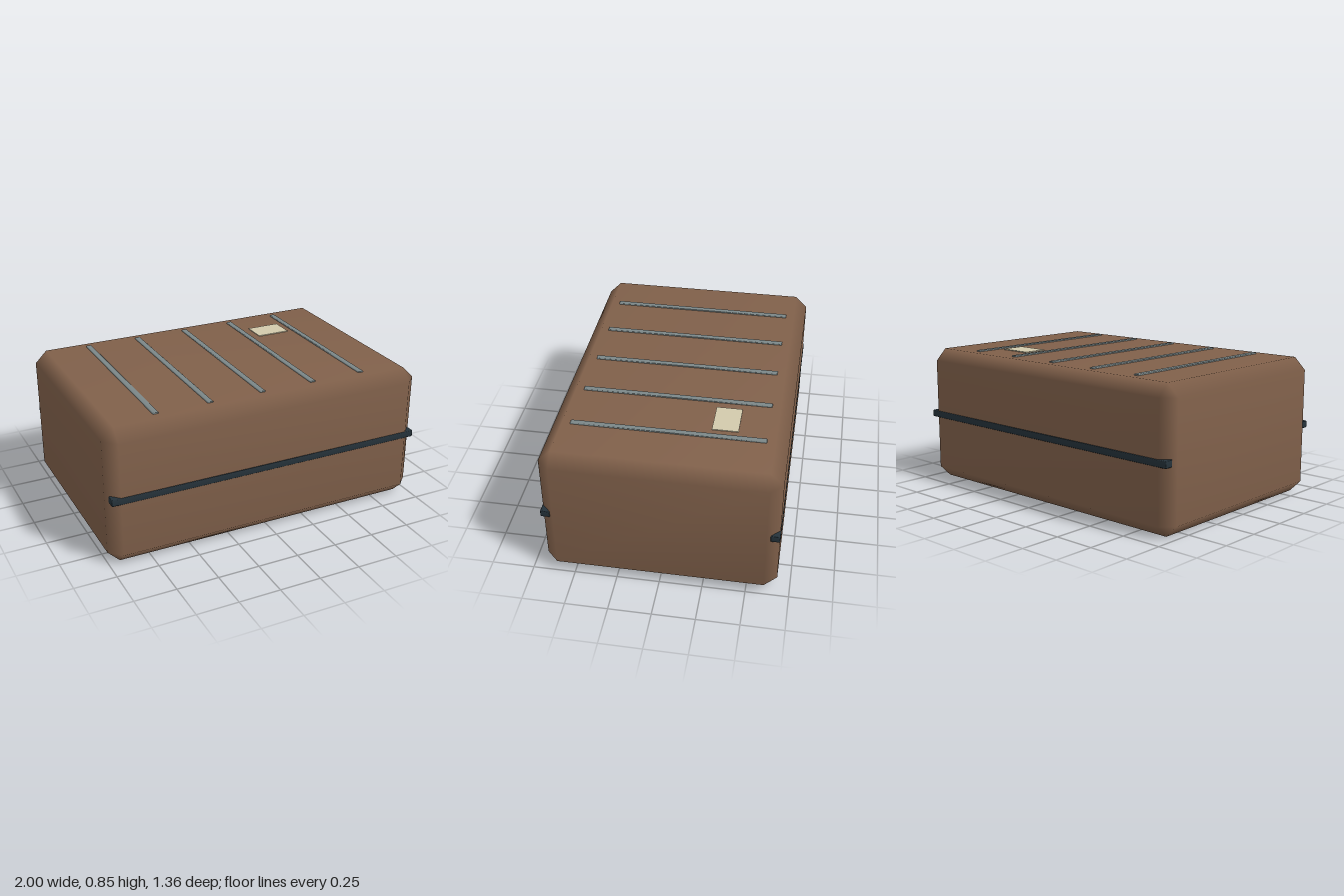
import * as THREE from 'three';
import { ConvexGeometry } from 'three/addons/geometries/ConvexGeometry.js';
import { mergeVertices } from 'three/addons/utils/BufferGeometryUtils.js';

// Box with single-step chamfers on every edge and softly shaded corners
function chamferBox(w, h, d, c) {
  const half = [w / 2, h / 2, d / 2];
  const points = [];
  for (const sx of [-1, 1]) for (const sy of [-1, 1]) for (const sz of [-1, 1]) {
    const sign = [sx, sy, sz];
    for (let axis = 0; axis < 3; axis++) {
      points.push(new THREE.Vector3(...sign.map((s, i) => s * (half[i] - (i === axis ? 0 : c)))));
    }
  }
  const faceted = new ConvexGeometry(points);
  faceted.deleteAttribute('normal');
  const smooth = mergeVertices(faceted, 1e-4);
  smooth.computeVertexNormals();
  return smooth;
}

export function createModel() {
  const group = new THREE.Group();
  const paint = (color) => new THREE.MeshStandardMaterial({ color });
  const brown = paint(0x80604a);
  const steel = paint(0x7b8788);
  const dark = paint(0x25323a);
  const paper = paint(0xd2caac);

  const add = (name, geometry, material, x, y, z) => {
    const mesh = new THREE.Mesh(geometry, material);
    mesh.name = name;
    mesh.position.set(x, y, z);
    group.add(mesh);
  };

  // Main case
  add('caseBody', chamferBox(2, 0.84, 1.35, 0.072), brown, 0, 0.42, 0);

  // Seam strips along the front and back
  const strip = chamferBox(1.966, 0.042, 0.055, 0.004);
  for (const side of [1, -1]) {
    add(side > 0 ? 'frontSeamStrip' : 'backSeamStrip', strip, dark, 0, 0.42, side * 0.651);
  }

  // Raised ribs across the lid
  const rib = chamferBox(0.035, 0.024, 1.11, 0.004);
  for (let i = -2; i <= 2; i++) {
    add('lidRib' + (i + 3), rib, steel, i * 0.33 - 0.003, 0.836, 0);
  }

  // Pale blank label on the lid
  add('label', new THREE.BoxGeometry(0.21, 0.012, 0.15), paper, 0.498, 0.839, -0.315);

  return group;
}
